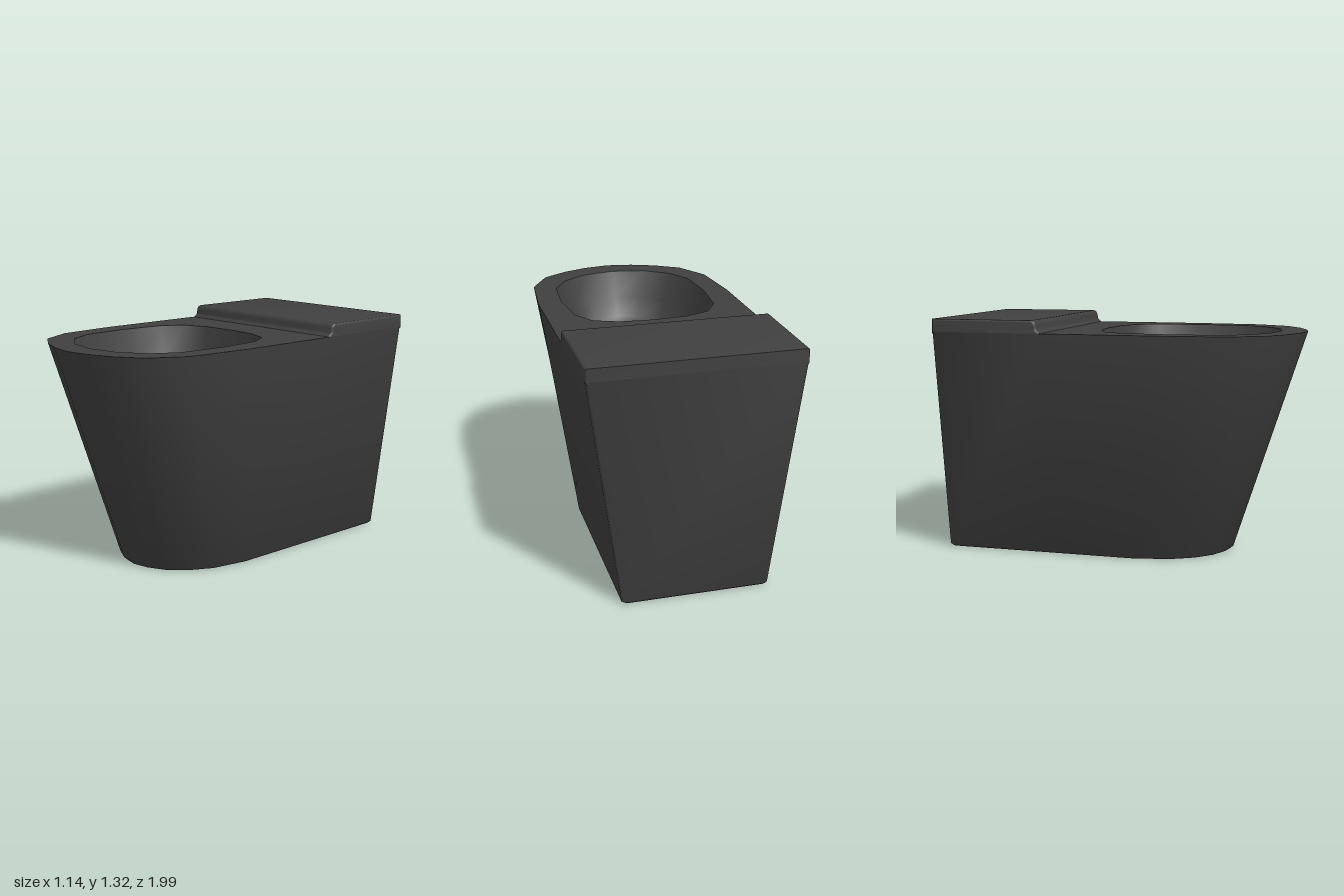
import * as THREE from 'three';
import { toCreasedNormals } from 'three/addons/utils/BufferGeometryUtils.js';

const material = new THREE.MeshStandardMaterial({ color: 0x404040 });

// Half outlines as [x, z], from the front centre round the left side to the back
const TOP = [[0, 0.99], [0.15, 0.965], [0.29, 0.91], [0.43, 0.82], [0.535, 0.63], [0.567, 0.28],
  [0.57, -0.39], [0.57, -0.985], [0.555, -1]];
const BASE = [[0, 0.59], [0.1, 0.57], [0.2, 0.52], [0.29, 0.43], [0.36, 0.3], [0.4, 0.09],
  [0.4, -0.39], [0.4, -0.985], [0.385, -1]];
const RIM = [[0, 0.845], [0.19, 0.81], [0.33, 0.71], [0.41, 0.57], [0.43, 0.3], [0.405, 0.04],
  [0.33, -0.085], [0.19, -0.14], [0, -0.155]];
const FLOOR = [[0, 0.62], [0.09, 0.6], [0.16, 0.53], [0.21, 0.42], [0.21, 0.24], [0.18, 0.08],
  [0.165, 0], [0.09, -0.02], [0, -0.03]];

// Complete a half outline by mirroring it in x
const mirror = (half) => [
  ...half,
  ...half.filter(([x]) => x > 0).reverse().map(([x, z]) => [-x, z]),
];

// Place an outline in space; y may depend on z
const ring = (half, y) => mirror(half).map(([x, z]) =>
  new THREE.Vector3(x, typeof y === 'function' ? y(z) : y, z));

// Skin a list of rings; a ring collapsed to one point closes the end
function loft(rings, crease) {
  const pos = [];
  const tri = (a, b, c) => {
    if (a.equals(b) || b.equals(c) || c.equals(a)) return;
    pos.push(...a.toArray(), ...b.toArray(), ...c.toArray());
  };
  for (let i = 0; i < rings.length - 1; i++) {
    const lo = rings[i], hi = rings[i + 1], n = lo.length;
    for (let j = 0; j < n; j++) {
      const k = (j + 1) % n;
      tri(lo[j], lo[k], hi[k]);
      tri(lo[j], hi[k], hi[j]);
    }
  }
  const geo = new THREE.BufferGeometry();
  geo.setAttribute('position', new THREE.Float32BufferAttribute(pos, 3));
  return toCreasedNormals(geo, crease);
}

export function createModel() {
  const group = new THREE.Group();
  const add = (name, geo) => {
    const mesh = new THREE.Mesh(geo, material);
    mesh.name = name;
    group.add(mesh);
    return mesh;
  };

  // Tapered pedestal with a slightly eased bottom edge
  const foot = BASE.map(([x, z]) => [x * 0.97, (z + 0.2) * 0.985 - 0.2]);
  const centre = ring(BASE, 0).map(() => new THREE.Vector3(0, 0, -0.2));
  add('pedestal', loft([centre, ring(foot, 0), ring(BASE, 0.012), ring(TOP, 1.25)], 0.8));

  // Flat seat rim with the bowl opening
  const toShape = (half) => mirror(half).map(([x, z]) => new THREE.Vector2(x, -z));
  const rim = new THREE.Shape(toShape(TOP));
  rim.holes.push(new THREE.Path(toShape(RIM)));
  add('rim', new THREE.ShapeGeometry(rim).rotateX(-Math.PI / 2).translate(0, 1.25, 0));

  // Bowl: steep at the back, with a floor that rises towards the front
  const floorY = (z) => 0.75 + 0.28 * Math.max(0, z);
  const rimRing = ring(RIM, 1.25), floorRing = ring(FLOOR, floorY);
  const bowl = [0, 0.25, 0.5, 0.75, 1].map((t) => rimRing.map((p, i) => {
    const q = floorRing[i].clone().lerp(p, 1 - t);
    q.y -= 0.1 * Math.sin(Math.PI * t); // rounds the wall
    return q;
  }));
  bowl.push(floorRing.map(() => new THREE.Vector3(0, floorY(0.2) - 0.02, 0.2)));
  add('bowl', loft(bowl, 1.1));

  // Raised rear ledge: side profile swept across the width, with eased edges
  const b = 0.012, h = 1.32 - b;
  const side = new THREE.Shape();
  side.moveTo(1 - b, 1.25);
  side.lineTo(1 - b, h);
  side.lineTo(0.425, h);
  side.quadraticCurveTo(0.41, h, 0.408, h - 0.018);
  side.lineTo(0.405, 1.275);
  side.quadraticCurveTo(0.403, 1.255, 0.385, 1.25);
  side.closePath();
  const ledge = new THREE.ExtrudeGeometry(side, {
    depth: 1.14 - 2 * b, bevelEnabled: true, bevelThickness: b, bevelSize: b,
    bevelSegments: 3, curveSegments: 5,
  });
  ledge.translate(0, 0, -0.57 + b).rotateY(Math.PI / 2);
  // The profile's x axis now runs towards -z
  add('rearLedge', toCreasedNormals(ledge, 0.7));

  return group;
}
